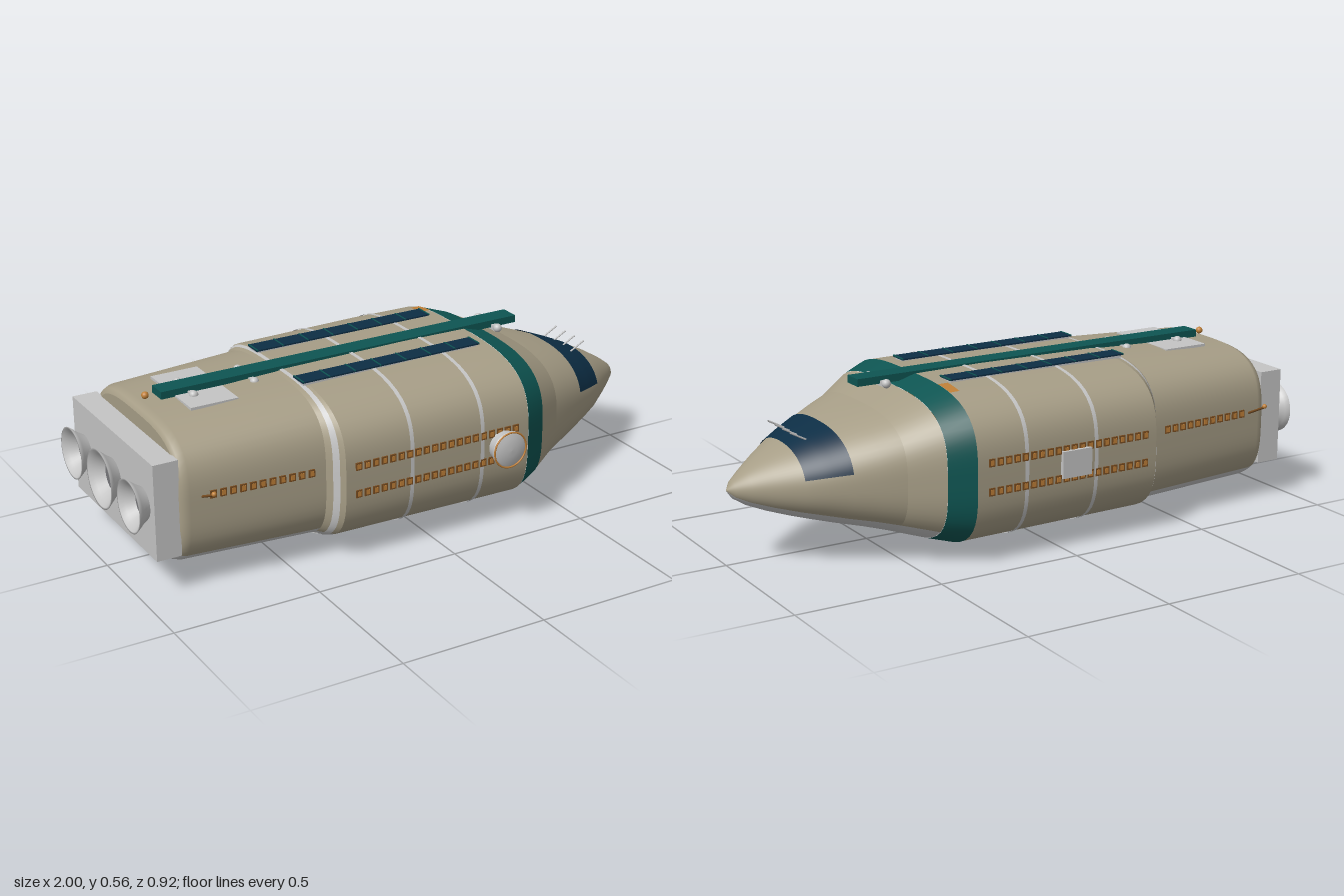
import * as THREE from 'three';

const mat = (name, color, side = THREE.FrontSide) => {
  const m = new THREE.MeshStandardMaterial({ color, side });
  m.name = name;
  return m;
};
const CZ = -0.022; // hull centre line
const N = 72; // hull sides

// Hull cross-sections: x, half width, bottom, top, roundness exponent
const REAR = [[-0.87, 0.312, 0.066, 0.505, 3.3], [-0.862, 0.324, 0.056, 0.52, 3.4], [-0.84, 0.33, 0.05, 0.53, 3.4], [-0.385, 0.364, 0.038, 0.546, 3.4]];
const STEP = [[-0.385, 0.364, 0.038, 0.546, 3.4], [-0.345, 0.422, 0.036, 0.55, 3.4]];
const MID = [[-0.345, 0.422, 0.036, 0.55, 3.4], [0.1, 0.428, 0.032, 0.555, 3.4], [0.34, 0.43, 0.03, 0.552, 3.4]];
const BAND = [[0.34, 0.43, 0.03, 0.552, 3.4], [0.425, 0.39, 0.052, 0.527, 3.3]];
const SHOULDER = [[0.425, 0.39, 0.052, 0.527, 3.3], [0.53, 0.325, 0.082, 0.48, 3]];
const NOSE = [[0.53, 0.325, 0.082, 0.48, 3], [0.6, 0.295, 0.1, 0.461, 2.75], [0.68, 0.255, 0.117, 0.436, 2.5],
  [0.75, 0.218, 0.135, 0.411, 2.3], [0.81, 0.18, 0.152, 0.385, 2.2], [0.88, 0.122, 0.175, 0.35, 2.1],
  [0.94, 0.07, 0.2, 0.314, 2], [0.98, 0.033, 0.226, 0.284, 2], [1, 0.001, 0.254, 0.256, 2]];
const ALL = [...REAR, ...STEP.slice(1), ...MID.slice(1), ...BAND.slice(1), ...SHOULDER.slice(1), ...NOSE.slice(1)];

// Interpolated cross-section at x
function section(x) {
  let i = 0;
  while (i < ALL.length - 2 && ALL[i + 1][0] < x) i++;
  const a = ALL[i], b = ALL[i + 1], t = (x - a[0]) / (b[0] - a[0]);
  return a.map((v, k) => v + (b[k] - v) * t);
}

// Point on a section at an angle; 0 is +z, 90 degrees is up
function point([x, w, lo, hi, n], a, off = 0) {
  const c = Math.cos(a), s = Math.sin(a);
  const r = Math.pow(Math.abs(c) ** n + Math.abs(s) ** n, -1 / n);
  return [x, (lo + hi) / 2 + ((hi - lo) / 2 + off) * r * s, CZ + (w + off) * r * c];
}

// Closed loft; sides within `belly` degrees of the keel use the second material
function loft(stations, off = 0, belly = 0) {
  const pos = [], top = [], low = [];
  for (const st of stations) for (let j = 0; j < N; j++) pos.push(...point(st, j / N * Math.PI * 2, off));
  for (let i = 0; i < stations.length - 1; i++) for (let j = 0; j < N; j++) {
    const k = (j + 1) % N, a = i * N + j, b = a + N, c = (i + 1) * N + k, d = i * N + k;
    const list = Math.abs((j + 0.5) / N * 360 - 270) < belly ? low : top;
    list.push(a, b, c, a, c, d);
  }
  const g = new THREE.BufferGeometry();
  g.setAttribute('position', new THREE.Float32BufferAttribute(pos, 3));
  g.setIndex([...top, ...low]);
  g.addGroup(0, top.length, 0);
  if (low.length) g.addGroup(top.length, low.length, 1);
  g.computeVertexNormals();
  return g;
}

// Open patch lying on the hull between two x values and two angles
function patch(x0, x1, a0, a1, off, nx = 10, na = 48) {
  const g = new THREE.PlaneGeometry(1, 1, nx, na), p = g.attributes.position;
  for (let i = 0; i < p.count; i++) {
    const x = x0 + (p.getX(i) + 0.5) * (x1 - x0), a = a0 + (p.getY(i) + 0.5) * (a1 - a0);
    p.setXYZ(i, ...point(section(x), a, off));
  }
  g.computeVertexNormals();
  return g;
}

export function createModel() {
  const hull = mat('hull beige', 0xa69d86), grey = mat('light grey', 0xc4c4c4, THREE.DoubleSide);
  const teal = mat('teal', 0x0e5552), navy = mat('navy', 0x0d2e45, THREE.DoubleSide);
  const amber = mat('amber', 0xc08038), brown = mat('frame brown', 0x7a4e22), dark = mat('engine dark', 0x77777a);
  const root = new THREE.Group();
  const add = (name, geo, m, x = 0, y = 0, z = 0) => {
    const o = new THREE.Mesh(geo, m);
    o.name = name;
    o.position.set(x, y, z);
    root.add(o);
    return o;
  };
  const box = (name, m, w, h, d, x, y, z) => add(name, new THREE.BoxGeometry(w, h, d), m, x, y, z);
  const rod = (name, m, r, from, to) => add(name, new THREE.TubeGeometry(
    new THREE.LineCurve3(new THREE.Vector3(...from), new THREE.Vector3(...to)), 1, r, 8), m);

  // Hull sections with grey belly
  add('rearHull', loft(REAR, 0, 50), [hull, grey]);
  add('hullStep', loft(STEP, 0, 45), [hull, grey]);
  add('midHull', loft(MID, 0, 35), [hull, grey]);
  add('frontBand', loft(BAND, 0.001), [teal]);
  add('shoulder', loft(SHOULDER, 0, 50), [hull, grey]);
  add('nose', loft(NOSE, 0, 50), [hull, grey]);
  add('rearCap', loft([[-0.87, 0.001, 0.28, 0.282, 3], REAR[0]]), [hull]);

  // Seam rings around the hull
  for (const x of [-0.365, -0.105, 0.16]) {
    const s = [x - 0.007, x + 0.007].map(section);
    add('seamRing', loft(s, 0.003), [grey]);
  }

  // Cockpit window and the probes above it
  add('cockpitWindow', patch(0.68, 0.81, Math.PI * 0.09, Math.PI * 0.91, 0.003), navy);
  for (const z of [0.065, 0.01, -0.045, -0.1]) rod('noseProbe', grey, 0.003, [0.74, 0.395, z], [0.81, 0.433, z]);

  // Cabin windows on both sides
  const cabinWindow = (x, y, side) => {
    const [, w, lo, hi, n] = section(x);
    const s = Math.abs((y - (lo + hi) / 2) / ((hi - lo) / 2));
    const z = CZ + side * w * Math.pow(1 - s ** n, 1 / n);
    box('windowFrame', brown, 0.022, 0.026, 0.008, x, y, z);
    box('windowPane', amber, 0.013, 0.016, 0.011, x, y, z);
  };
  for (const side of [1, -1]) {
    for (let i = 0; i < 20; i++) for (const y of [0.25, 0.345]) cabinWindow(-0.3 + i * 0.031, y, side);
    for (let i = 0; i < 11; i++) cabinWindow(-0.765 + i * 0.033, 0.328, side);
    // Side antenna
    const z0 = CZ + side * 0.32, z1 = CZ + side * 0.415;
    rod('sideAntenna', brown, 0.004, [-0.8, 0.32, z0], [-0.8, 0.365, z1]);
    add('antennaTip', new THREE.SphereGeometry(0.008, 12, 8), amber, -0.8, 0.368, z1);
  }

  // Spine beam with clamps, and the plate under its rear end
  box('spineBeam', teal, 1.34, 0.025, 0.068, -0.12, 0.548, CZ);
  for (const x of [-0.69, -0.475, 0.46]) {
    box('beamClamp', grey, 0.018, 0.018, 0.12, x, 0.537, CZ);
    for (const s of [1, -1]) add('clampKnob', new THREE.SphereGeometry(0.015, 16, 10), grey, x, 0.54, CZ + s * 0.06);
  }
  box('rearTopPlate', grey, 0.165, 0.009, 0.3, -0.66, 0.535, CZ);
  add('topBeacon', new THREE.SphereGeometry(0.012, 16, 10), amber, -0.83, 0.547, CZ);

  // Roof panels with dividers
  for (const s of [1, -1]) {
    const z = CZ + s * 0.158;
    box('panelBase', grey, 0.66, 0.012, 0.05, -0.035, 0.549, z);
    box('roofPanel', navy, 0.67, 0.005, 0.064, -0.035, 0.558, z);
    for (let i = 0; i <= 7; i++) box('panelDivider', teal, 0.005, 0.004, 0.066, -0.367 + i * 0.095, 0.56, z);
  }
  // Painted marks by the front band
  add('topMark', patch(0.305, 0.34, Math.PI * 0.63, Math.PI * 0.68, 0.002, 2, 6), amber);
  add('bellyMark', patch(0.27, 0.34, -Math.PI * 0.36, -Math.PI * 0.31, 0.002, 2, 6), amber);

  // Docking port on the left-hand flank
  const dock = add('dockingPort', new THREE.LatheGeometry([[0.05, 0], [0.056, 0.045], [0.062, 0.048], [0.062, 0.058], [0.054, 0.06],
    [0.042, 0.064], [0.022, 0.068], [0, 0.069]].map(p => new THREE.Vector2(...p)), 32), grey, 0.24, 0.295, 0.392);
  dock.rotation.x = Math.PI / 2;
  add('dockingRing', new THREE.TorusGeometry(0.061, 0.003, 8, 40), amber, 0.24, 0.295, 0.453);

  // Hatch on the opposite flank
  box('sideHatch', grey, 0.11, 0.09, 0.025, -0.025, 0.297, -0.45);

  // Belly plate and ring port
  box('bellyPlate', grey, 0.29, 0.012, 0.09, 0.085, 0.026, CZ);
  add('bellyPort', new THREE.LatheGeometry([[0.036, 0.03], [0.036, 0.014], [0.044, 0.012], [0.044, 0.003], [0.04, 0],
    [0.026, 0], [0.024, 0.016], [0, 0.016]].map(p => new THREE.Vector2(...p)), 32), grey, 0.085, 0, CZ);

  // Engine block and bell nozzles
  box('engineBlock', grey, 0.085, 0.325, 0.62, -0.909, 0.293, CZ);
  for (const [dz, r] of [[-0.225, 0.088], [0, 0.1], [0.225, 0.088]]) {
    const profile = [[0.6, 0], [0.72, 0.018], [0.88, 0.036], [1, 0.05], [0.93, 0.05], [0.78, 0.034], [0.5, 0.006]];
    const bell = add('engineNozzle', new THREE.LatheGeometry(profile.map(([a, b]) => new THREE.Vector2(a * r, b)), 36), grey, -0.95, 0.297, CZ + dz);
    bell.rotation.z = Math.PI / 2;
    const core = add('nozzleCore', new THREE.CircleGeometry(r * 0.6, 28), dark, -0.957, 0.297, CZ + dz);
    core.rotation.y = -Math.PI / 2;
  }
  return root;
}
